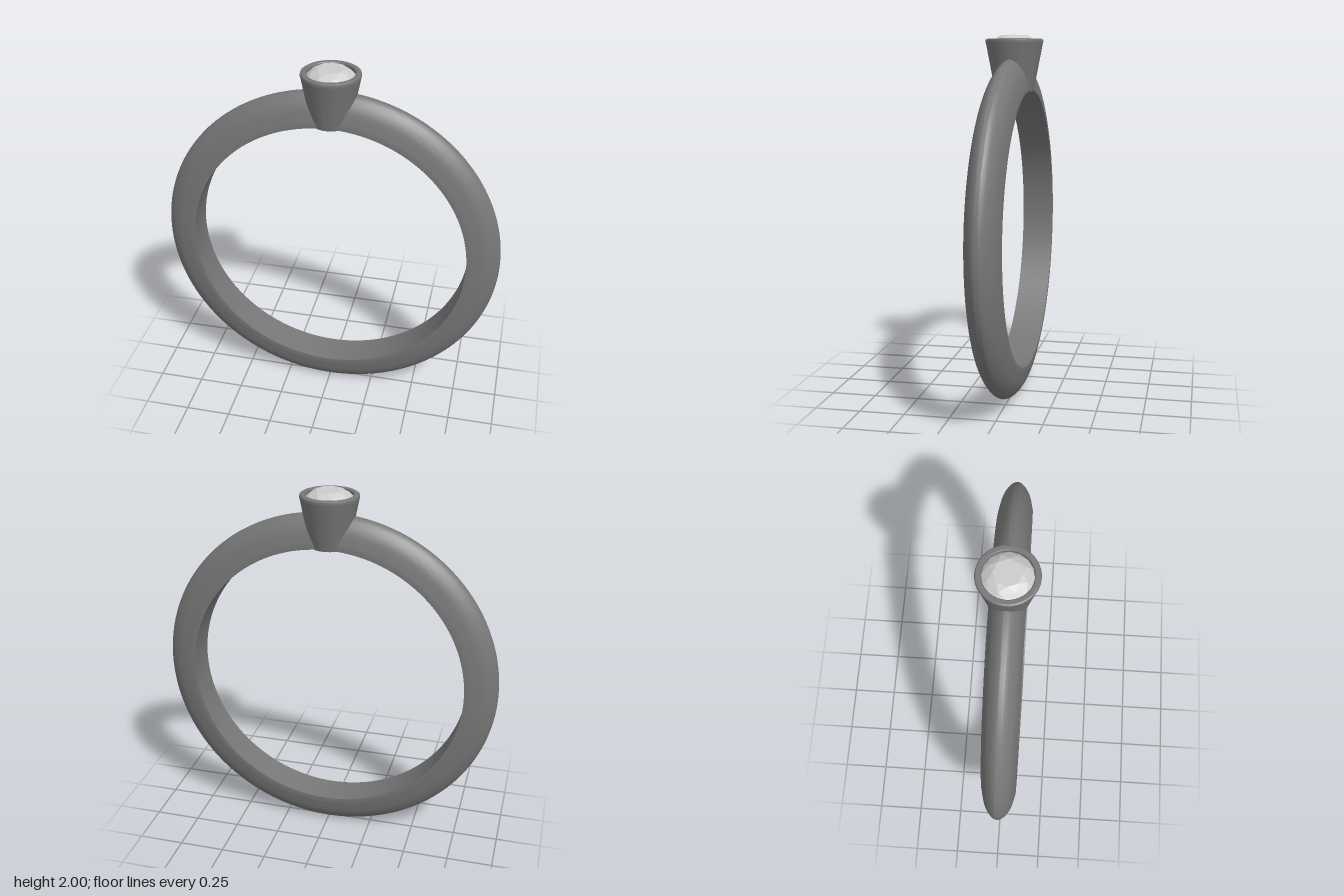
import * as THREE from 'three';
import { toCreasedNormals } from 'three/addons/utils/BufferGeometryUtils.js';
import { ConvexGeometry } from 'three/addons/geometries/ConvexGeometry.js';

const v2 = ([x, y]) => new THREE.Vector2(x, y);

// Spin a closed counterclockwise profile, keeping its corners sharp
function spin(points, segments, start = 0, length = Math.PI * 2) {
  return toCreasedNormals(new THREE.LatheGeometry(points, segments, start, length), 0.5);
}

// Points of a regular ring at height y
function ringPoints(count, radius, y, turn = 0) {
  return Array.from({ length: count }, (_, i) => {
    const a = ((i + turn) / count) * Math.PI * 2;
    return new THREE.Vector3(radius * Math.cos(a), y, radius * Math.sin(a));
  });
}

export function createModel() {
  const group = new THREE.Group();
  const metal = new THREE.MeshStandardMaterial({ color: 0x777777, side: THREE.DoubleSide });
  const crystal = new THREE.MeshStandardMaterial({ color: 0xcccccc, flatShading: true });

  const add = (name, geometry, material) => {
    const mesh = new THREE.Mesh(geometry, material);
    mesh.name = name;
    group.add(mesh);
    return mesh;
  };

  // Band: flat inside, short straight sides, arched outside; it is open inside the setting
  const arch = new THREE.SplineCurve([
    [0.79, -0.092], [0.867, -0.072], [0.915, -0.042], [0.937, -0.013],
    [0.937, 0.013], [0.915, 0.042], [0.867, 0.072], [0.79, 0.092],
  ].map(v2)).getPoints(36);
  const profile = [v2([0.765, -0.092]), ...arch, v2([0.765, 0.092]), v2([0.765, -0.092])];
  const gap = 0.066;
  const bandGeometry = spin(profile, 160, gap, Math.PI * 2 - gap * 2);
  bandGeometry.rotateX(-Math.PI / 2);
  add('band', bandGeometry, metal).position.y = 0.94;

  // Setting: hollow tapered cup with a bevelled rim and a hole through its base
  add('setting', spin([
    [0.05, 1.7], [0.105, 1.7], [0.154, 1.955], [0.157, 1.966], [0.155, 1.976], [0.149, 1.98],
    [0.129, 1.98], [0.125, 1.976], [0.125, 1.95], [0.05, 1.84], [0.05, 1.7],
  ].map(v2), 72), metal);

  // Gem: eight-sided table, crown facets, girdle and pointed pavilion
  add('gem', new ConvexGeometry([
    ...ringPoints(8, 0.072, 2),
    ...ringPoints(8, 0.102, 1.985, 0.5),
    ...ringPoints(16, 0.125, 1.962),
    ...ringPoints(16, 0.125, 1.955),
    ...ringPoints(8, 0.06, 1.88, 0.5),
    new THREE.Vector3(0, 1.825, 0),
  ]), crystal);

  return group;
}
